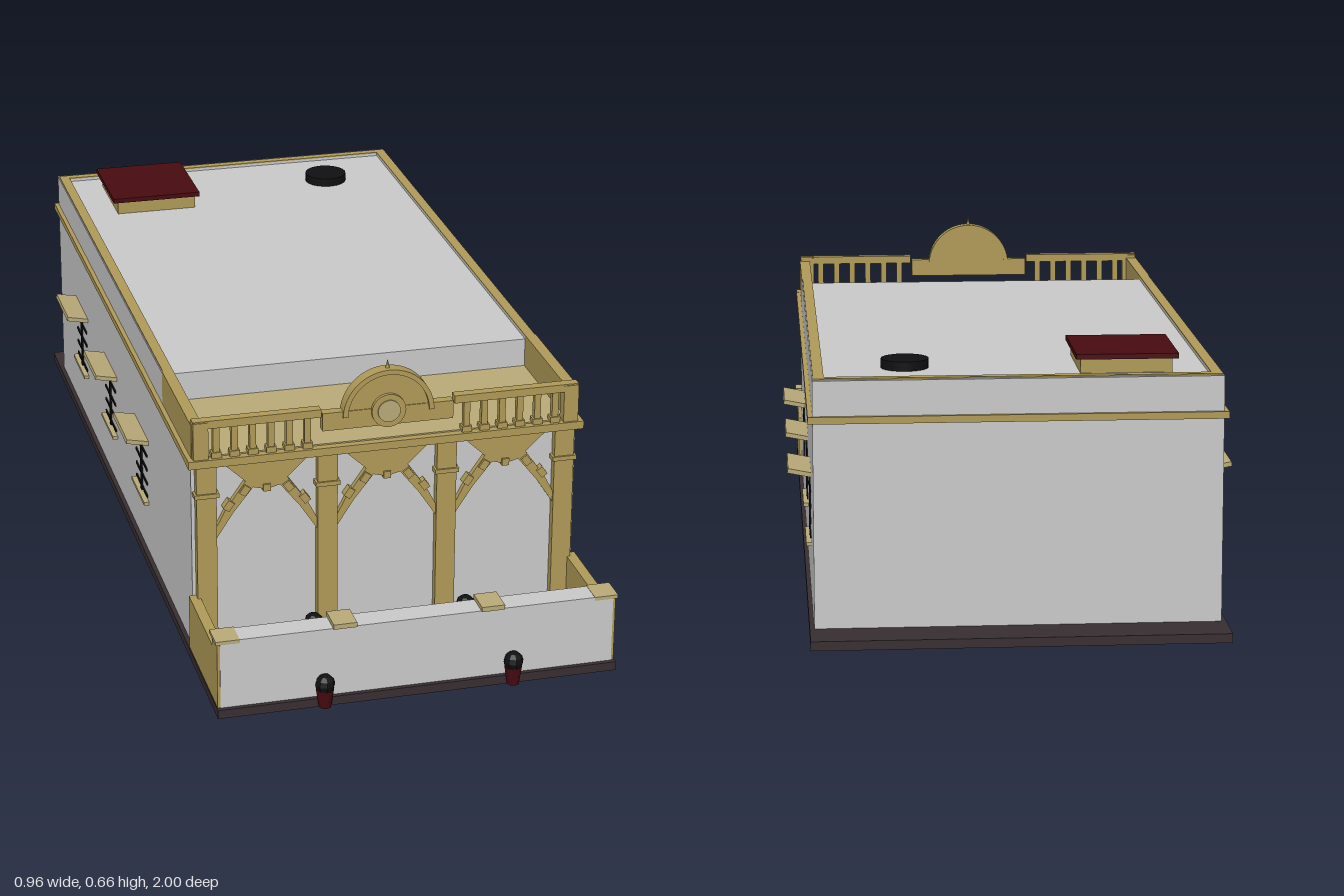
import * as THREE from 'three';

const mat = (name, color) => {
  const m = new THREE.MeshStandardMaterial({ color });
  m.name = name;
  return m;
};

export function createModel() {
  const root = new THREE.Group();
  root.name = 'building';
  const wall = mat('wall grey', 0xcacaca);
  const tan = mat('tan trim', 0xb09a58);
  const pale = mat('pale tan', 0xb9aa78);
  const dark = mat('dark paving', 0x382e31);
  const red = mat('dark red', 0x480b10);
  const black = mat('black', 0x101012);

  const add = (name, geo, m, x = 0, y = 0, z = 0, parent = root) => {
    const mesh = new THREE.Mesh(geo, m);
    mesh.name = name;
    mesh.position.set(x, y, z);
    parent.add(mesh);
    return mesh;
  };
  // Box given by its limits on each axis
  const box = (name, m, x0, x1, y0, y1, z0, z1, parent = root) =>
    add(name, new THREE.BoxGeometry(x1 - x0, y1 - y0, z1 - z0), m,
      (x0 + x1) / 2, (y0 + y1) / 2, (z0 + z1) / 2, parent);
  const group = (name, x = 0, y = 0, z = 0) => {
    const g = new THREE.Group();
    g.name = name;
    g.position.set(x, y, z);
    root.add(g);
    return g;
  };
  // Flat outline extruded towards the front
  const plate = (name, points, depth, m, parent, z = 0) => {
    const shape = new THREE.Shape(points.map(([x, y]) => new THREE.Vector2(x, y)));
    return add(name, new THREE.ExtrudeGeometry(shape, { depth, bevelEnabled: false }), m, 0, 0, z, parent);
  };

  // Ground slab and main block
  box('groundSlab', dark, -0.44, 0.44, 0, 0.02, -1, 0.98);
  box('mainWalls', wall, -0.43, 0.43, 0.02, 0.475, -0.9, 0.69);
  box('upperBlock', wall, -0.43, 0.43, 0.475, 0.543, -0.9, 0.4);
  box('lowerRoof', pale, -0.41, 0.41, 0.475, 0.478, 0.4, 0.7);

  // Cornice around the whole block
  box('backCornice', tan, -0.44, 0.44, 0.459, 0.474, -0.908, -0.898);
  box('frontBeam', tan, -0.44, 0.44, 0.457, 0.475, 0.68, 0.717);
  for (const s of [-1, 1]) {
    const side = (name, m, a, b, ...r) => box(name, m, Math.min(s * a, s * b), Math.max(s * a, s * b), ...r);
    side('sideCornice', tan, 0.425, 0.44, 0.459, 0.474, -0.908, 0.69);
    // Parapet with tan capping
    side('sideParapet', wall, 0.405, 0.43, 0.543, 0.549, -0.9, 0.4);
    side('parapetCap', tan, 0.405, 0.428, 0.549, 0.552, -0.89, 0.4);
    side('porchParapet', tan, 0.405, 0.43, 0.475, 0.552, 0.4, 0.7);
    side('cornerPost', tan, 0.395, 0.428, 0.475, 0.56, 0.685, 0.712);

    // Balustrade
    side('balustradeRail', tan, 0.148, 0.428, 0.545, 0.563, 0.688, 0.71);
    for (let i = 0; i < 6; i++) {
      const x = s * (0.177 + i * 0.04);
      box('balusterFoot', tan, x - 0.011, x + 0.011, 0.475, 0.488, 0.689, 0.71);
      box('baluster', tan, x - 0.007, x + 0.007, 0.488, 0.546, 0.692, 0.707);
    }

    // Terrace side wall and front end post
    side('terraceSideWall', tan, 0.415, 0.438, 0.02, 0.145, 0.69, 0.93);
    side('terraceEndPost', tan, 0.432, 0.438, 0.02, 0.172, 0.918, 0.968);
    side('endCap', pale, 0.39, 0.442, 0.17, 0.178, 0.912, 0.972);
    side('wallCap', pale, 0.137, 0.188, 0.176, 0.187, 0.91, 0.974);

    // Columns with bands
    for (const x of [s * 0.133, s * 0.4]) {
      box('column', tan, x - 0.022, x + 0.022, 0.02, 0.458, 0.685, 0.709);
      box('columnBand', tan, x - 0.027, x + 0.027, 0.383, 0.393, 0.685, 0.713);
    }

    // Side windows: barred, with a raised awning and a sill
    for (const z of [0.15, -0.225, -0.6]) {
      const awning = add('awning', new THREE.BoxGeometry(0.056, 0.01, 0.16), pale, s * 0.453, 0.306, z);
      awning.rotation.z = s * 0.2;
      side('windowSill', pale, 0.43, 0.442, 0.143, 0.151, z - 0.073, z + 0.073);
      side('windowMullion', black, 0.43, 0.434, 0.151, 0.3, z - 0.005, z + 0.005);
      for (const y of [0.16, 0.192, 0.227, 0.262])
        side('windowBar', black, 0.43, 0.433, y - 0.003, y + 0.003, z - 0.063, z + 0.063);
    }
  }
  box('backParapet', wall, -0.43, 0.43, 0.543, 0.549, -0.9, -0.87);
  box('backParapetCap', tan, -0.428, 0.428, 0.549, 0.552, -0.89, -0.87);

  // Bracing in the three porch bays
  for (const cx of [-0.267, 0, 0.267]) {
    const bay = group('bayBracing', cx, 0, 0.689);
    plate('topBracket', [[-0.096, 0.458], [-0.03, 0.395], [0, 0.387], [0.03, 0.395], [0.096, 0.458]], 0.014, tan, bay);
    for (const s of [-1, 1]) {
      const pts = [[0.028, 0.397], [0.073, 0.34], [0.112, 0.28], [0.112, 0.306], [0.092, 0.345], [0.046, 0.411]];
      const arm = pts.map(([x, y]) => [s * x, y]);
      plate('brace', s > 0 ? arm : arm.reverse(), 0.014, tan, bay);
      for (const [x, y] of [[0.048, 0.39], [0.084, 0.358]])
        add('braceStud', new THREE.BoxGeometry(0.022, 0.016, 0.02), tan, s * x, y, 0.009, bay).rotation.z = -s * 0.95;
    }
    add('centreStud', new THREE.BoxGeometry(0.016, 0.016, 0.02), tan, 0, 0.392, 0.009, bay);
  }

  // Pediment: stepped base, arch, medallion and finial
  const pediment = group('pediment', 0, 0, 0.688);
  box('pedimentBase', tan, -0.145, 0.145, 0.512, 0.553, 0, 0.022, pediment);
  const arch = (name, r, d, m) => {
    const shape = new THREE.Shape();
    shape.absarc(0, 0.54, r, 0, Math.PI, false);
    add(name, new THREE.ExtrudeGeometry(shape, { depth: d, bevelEnabled: false, curveSegments: 24 }), m, 0, 0, 0, pediment);
  };
  arch('archPanel', 0.09, 0.02, tan);
  const rim = new THREE.Shape();
  rim.absarc(0, 0.54, 0.101, 0, Math.PI, false);
  rim.absarc(0, 0.54, 0.09, Math.PI, 0, true);
  add('archRim', new THREE.ExtrudeGeometry(rim, { depth: 0.03, bevelEnabled: false, curveSegments: 24 }), tan, 0, 0, -0.003, pediment);
  const disc = (name, r, d, m) =>
    add(name, new THREE.CylinderGeometry(r, r, d, 24).rotateX(Math.PI / 2), m, 0, 0.547, 0.02 + d / 2, pediment);
  disc('medallionRing', 0.038, 0.008, tan);
  disc('medallionCentre', 0.025, 0.011, pale);
  add('finial', new THREE.ConeGeometry(0.006, 0.026, 8), tan, 0, 0.648, 0.011, pediment);

  // Terrace front wall and door step
  box('terraceFrontWall', wall, -0.432, 0.432, 0.02, 0.177, 0.915, 0.97);
  box('doorStep', dark, -0.12, 0.12, 0.02, 0.028, 0.69, 0.76);

  // Potted shrubs outside and on the terrace
  for (const [x, y, z] of [[0.208, 0, 0.98], [0.172, 0.02, 0.74]]) {
    for (const s of [-1, 1]) {
      const pot = group('planter', s * x, y, z);
      add('pot', new THREE.CylinderGeometry(0.02, 0.014, 0.042, 8), red, 0, 0.021, 0, pot);
      const shrub = new THREE.SphereGeometry(0.022, 8, 6).toNonIndexed();
      shrub.computeVertexNormals();
      add('shrub', shrub, black, 0, 0.053, 0, pot);
    }
  }

  // Roof hatch and vent
  box('hatchBase', tan, -0.33, -0.135, 0.54, 0.575, -0.82, -0.61);
  box('hatchRoof', red, -0.342, -0.125, 0.574, 0.585, -0.832, -0.602);
  add('roofVent', new THREE.CylinderGeometry(0.051, 0.051, 0.022, 20), black, 0.23, 0.552, -0.725);

  return root;
}
